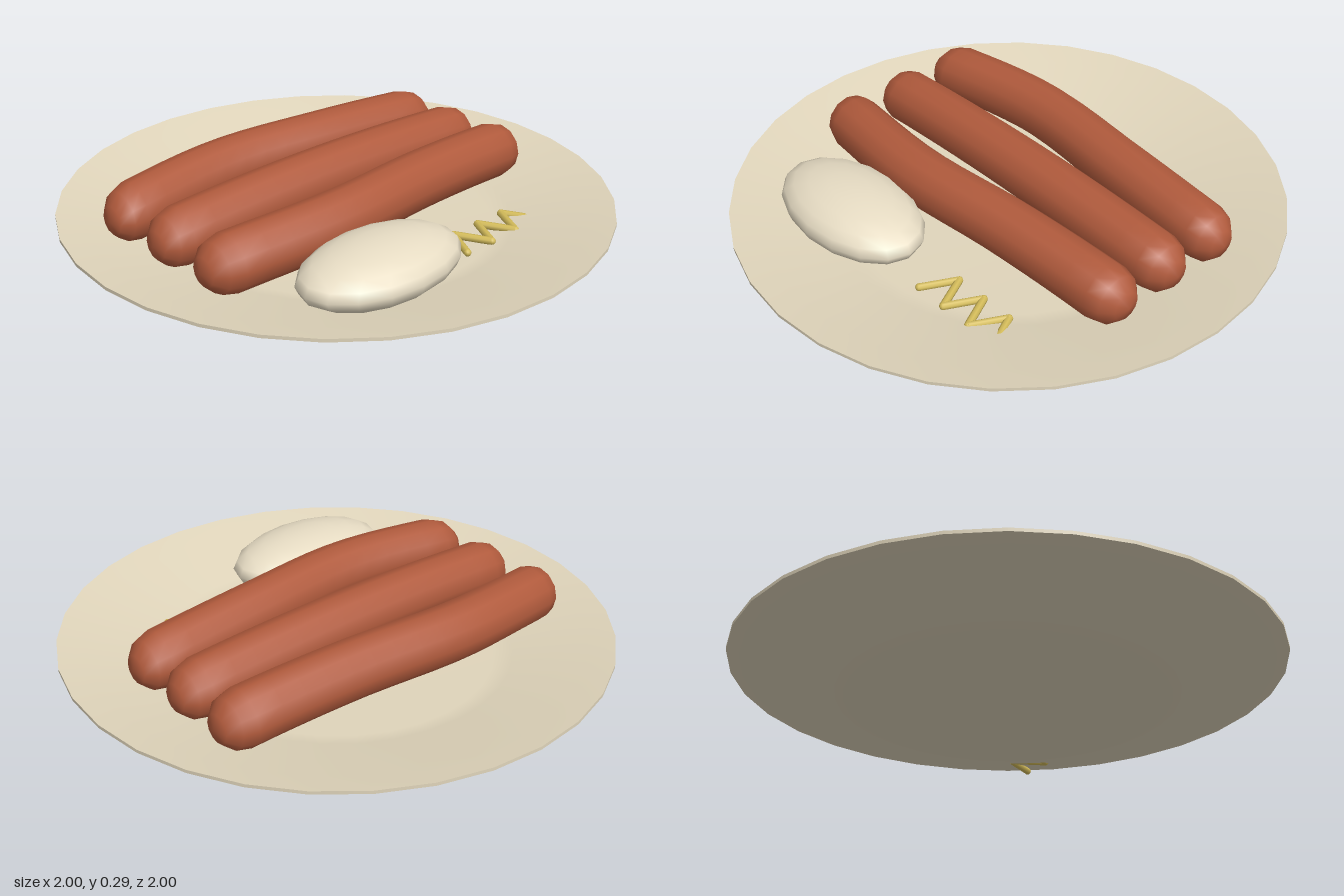
import * as THREE from 'three';

const mat = (name, color) => new THREE.MeshStandardMaterial({ name, color });

export function createModel() {
  const group = new THREE.Group();
  const plateCream = mat('plateCream', 0xe0d5bb);
  const eggCream = mat('mashCream', 0xece1c8);
  const sausageBrown = mat('sausageBrown', 0xb05a3c);
  const mustardYellow = mat('mustardYellow', 0xd4bc5a);

  const add = (name, geometry, material, parent = group) => {
    const mesh = new THREE.Mesh(geometry, material);
    mesh.name = name;
    parent.add(mesh);
    return mesh;
  };

  // Plate: underside, rim and dish are separate so the rim edge stays crisp
  const plate = new THREE.Group();
  plate.name = 'plate';
  group.add(plate);
  const lathe = (points) =>
    new THREE.LatheGeometry(points.map(([r, y]) => new THREE.Vector2(r, y)), 32);
  add('plateUnderside', lathe([[0, 0], [0.58, 0], [0.63, 0.02], [0.9, 0.083], [1, 0.118]]), plateCream, plate);
  add('plateRim', lathe([[1, 0.118], [1, 0.13]]), plateCream, plate);
  add('plateDish', lathe([[1, 0.13], [0.9, 0.11], [0.64, 0.052], [0.57, 0.035], [0, 0.035]]), plateCream, plate);

  // Sausages: capsules along x, bent sideways and slightly arched
  const bend = new THREE.SplineCurve([
    [-1.15, 0.2], [-0.7, 0.26], [-0.2, 0.305], [0.25, 0.265], [0.7, 0.235], [1.15, 0.22],
  ].map(([x, z]) => new THREE.Vector2(x, z)));
  const bendAt = (x) => bend.getPoint((x + 1.15) / 2.3).y;
  const sausage = (name, side) => {
    const geo = new THREE.CapsuleGeometry(0.105, 1.315, 3, 12, 14);
    geo.rotateZ(-Math.PI / 2);
    const p = geo.attributes.position;
    for (let i = 0; i < p.count; i++) {
      const x = p.getX(i);
      p.setY(i, p.getY(i) + 0.19 - 0.052 * x * x);
      p.setZ(i, p.getZ(i) - 0.07 + side * bendAt(x));
    }
    // Keep smooth normals, matching the seam by averaging the shared corners
    geo.computeVertexNormals();
    const n = geo.attributes.normal;
    const sums = new Map();
    const key = (i) => [p.getX(i), p.getY(i), p.getZ(i)].map((v) => Math.round(v * 1e4)).join();
    const v = new THREE.Vector3();
    for (let i = 0; i < p.count; i++) {
      const k = key(i);
      if (!sums.has(k)) sums.set(k, new THREE.Vector3());
      sums.get(k).add(v.fromBufferAttribute(n, i));
    }
    for (let i = 0; i < p.count; i++) {
      v.copy(sums.get(key(i))).normalize();
      n.setXYZ(i, v.x, v.y, v.z);
    }
    add(name, geo, sausageBrown);
  };
  sausage('backSausage', -1);
  sausage('middleSausage', 0);
  sausage('frontSausage', 1);

  // Oval mound of mash
  const mound = add('mashMound', new THREE.SphereGeometry(1, 16, 10), eggCream);
  mound.scale.set(0.33, 0.1, 0.2);
  mound.position.set(-0.27, 0.14, 0.5);

  // Mustard zigzag: short rods with round joints
  const mustard = new THREE.Group();
  mustard.name = 'mustardZigzag';
  group.add(mustard);
  const radius = 0.014;
  const corners = Array.from({ length: 9 }, (_, i) =>
    new THREE.Vector3(0.13 + i * 0.0637, 0.05, i % 2 ? 0.4 : 0.525));
  const up = new THREE.Vector3(0, 1, 0);
  corners.forEach((c, i) => {
    add('mustardJoint', new THREE.SphereGeometry(radius, 8, 6), mustardYellow, mustard).position.copy(c);
    if (i === 0) return;
    const dir = c.clone().sub(corners[i - 1]);
    const rod = add('mustardRod', new THREE.CylinderGeometry(radius, radius, dir.length(), 8), mustardYellow, mustard);
    rod.position.copy(c).add(corners[i - 1]).multiplyScalar(0.5);
    rod.quaternion.setFromUnitVectors(up, dir.normalize());
  });

  return group;
}
